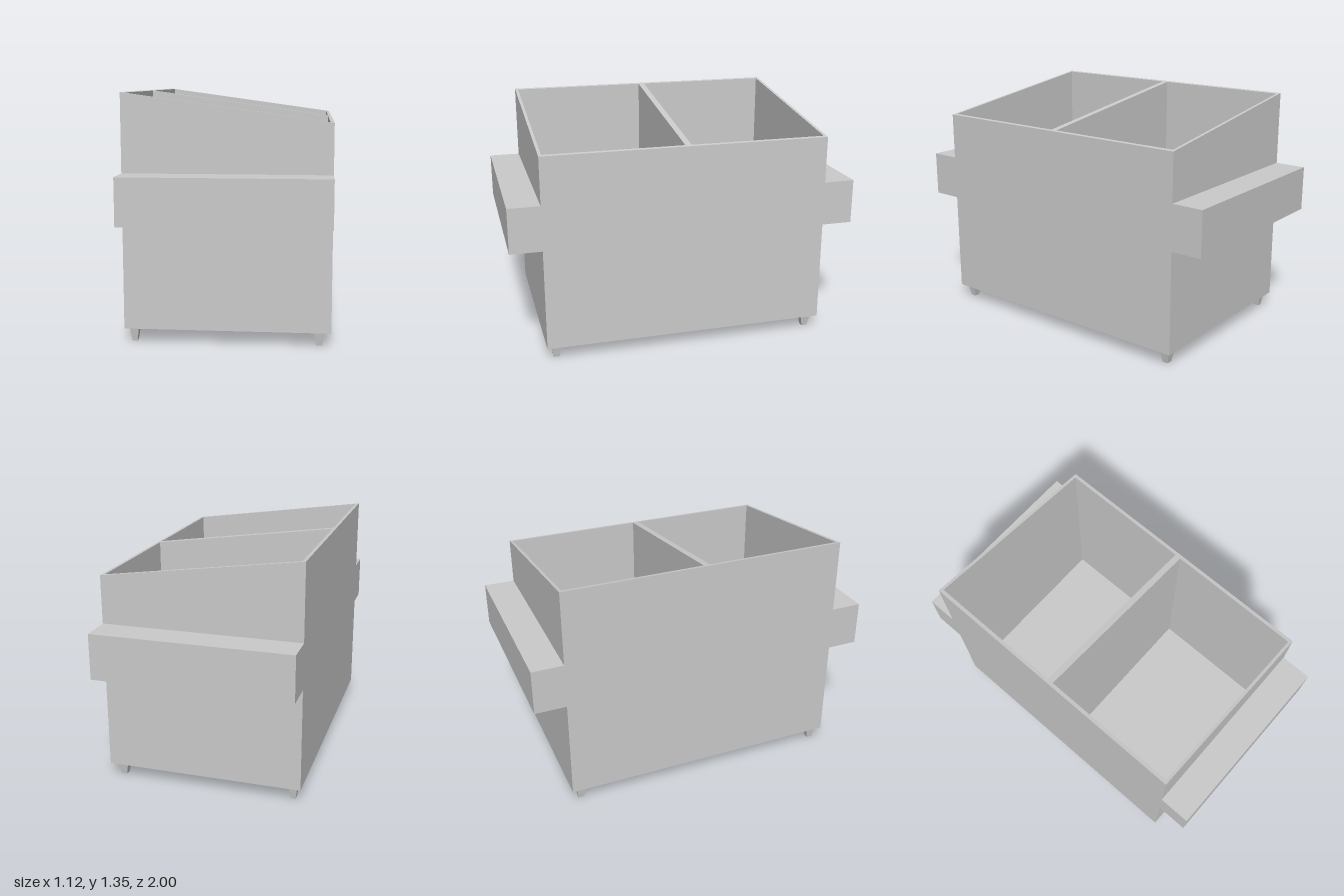
import * as THREE from 'three';

const material = new THREE.MeshStandardMaterial({ color: 0xcccccc, flatShading: true });

function addMesh(parent, name, geometry, x = 0, y = 0, z = 0) {
  const mesh = new THREE.Mesh(geometry, material);
  mesh.name = name;
  mesh.position.set(x, y, z);
  parent.add(mesh);
  return mesh;
}

// Counter-clockwise rectangle; z is negated because the plan is laid flat later
function rectangle(PathType, halfWidth, z0, z1) {
  return new PathType([
    new THREE.Vector2(-halfWidth, -z1), new THREE.Vector2(halfWidth, -z1),
    new THREE.Vector2(halfWidth, -z0), new THREE.Vector2(-halfWidth, -z0),
  ]);
}

// Walls and divider: a plan with two openings, raised and cut to a sloping rim
function wallsGeometry(bottom) {
  const plan = rectangle(THREE.Shape, 0.558, -0.82, 0.82);
  plan.holes.push(
    rectangle(THREE.Path, 0.537, -0.803, -0.018),
    rectangle(THREE.Path, 0.537, 0.018, 0.803),
  );
  const geometry = new THREE.ExtrudeGeometry(plan, { depth: 1, bevelEnabled: false });
  geometry.rotateX(-Math.PI / 2);
  const position = geometry.attributes.position;
  for (let i = 0; i < position.count; i++) {
    const isRim = position.getY(i) > 0.5;
    position.setY(i, isRim ? 1.272 - 0.139 * position.getX(i) : bottom);
  }
  geometry.computeVertexNormals();
  return geometry;
}

// Square foot tapering downwards, given its width in x at the top
function footGeometry(width) {
  const geometry = new THREE.CylinderGeometry(0.03 * Math.SQRT2, 0.017 * Math.SQRT2, 0.078, 4, 1);
  geometry.rotateY(Math.PI / 4);
  geometry.scale(width / 0.06, 1, 1);
  return geometry;
}

export function createModel() {
  const model = new THREE.Group();
  model.name = 'dumpster';

  // Bin
  addMesh(model, 'walls', wallsGeometry(0.098));
  addMesh(model, 'floor', new THREE.BoxGeometry(1.116, 0.02, 1.64), 0, 0.088, 0);

  // Lifting pockets on both ends
  for (const [name, side] of [['frontLiftPocket', 1], ['backLiftPocket', -1]]) {
    addMesh(model, name, new THREE.BoxGeometry(1.116, 0.258, 0.18), 0, 0.795, side * 0.91);
  }

  // Tapered feet, slightly wider on the low side
  for (const [sideName, x, width] of [['Left', 0.494, 0.06], ['Right', -0.509, 0.05]]) {
    const foot = footGeometry(width);
    for (const [endName, z] of [['front', 0.764], ['back', -0.762]]) {
      addMesh(model, `${endName}${sideName}Foot`, foot, x, 0.039, z);
    }
  }

  return model;
}
